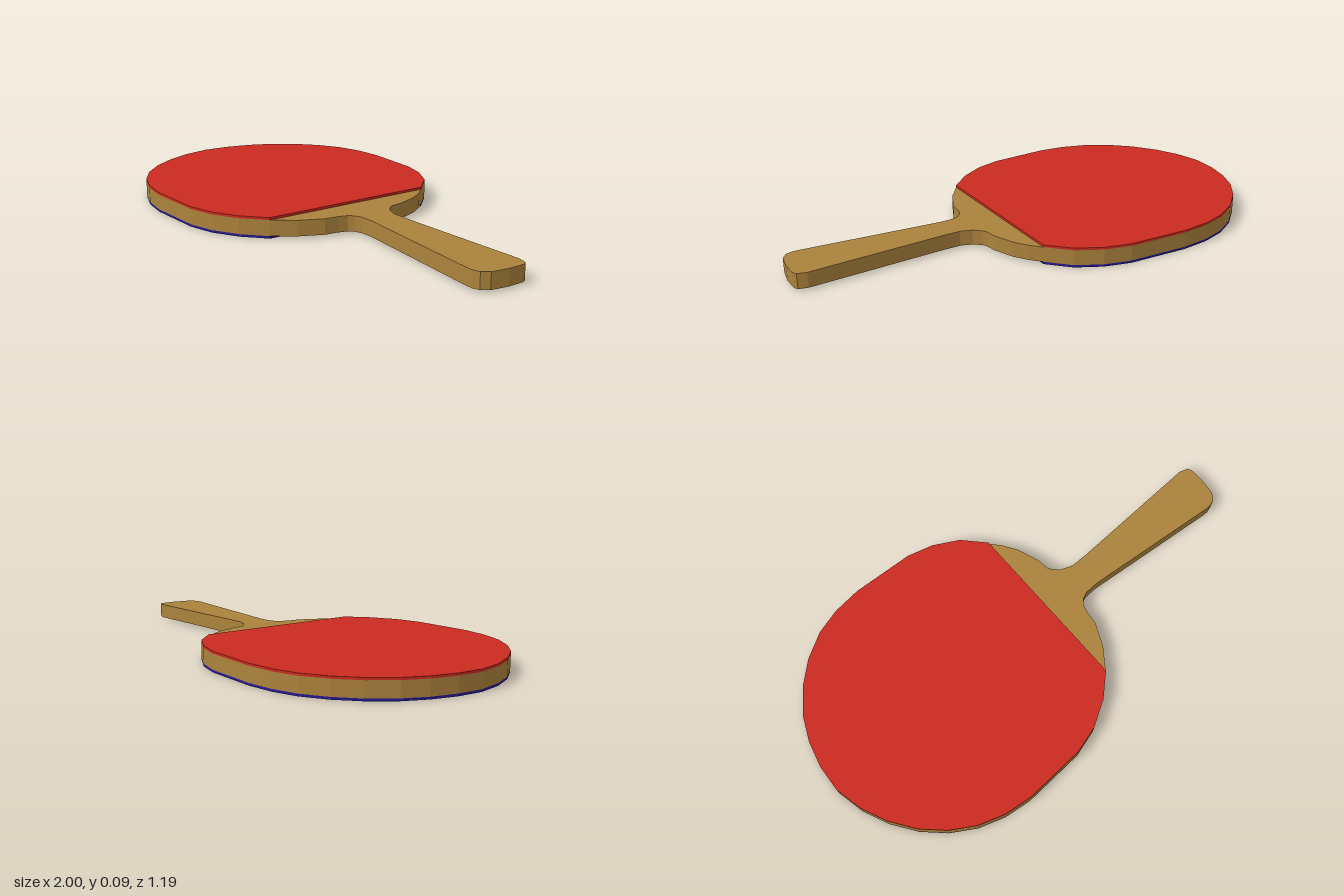
import * as THREE from 'three';

// Outline points are [x, z], seen from above.
const sheet = [
  [0.24, -0.185], [0.19, -0.3], [0.11, -0.39], [0.015, -0.457], [-0.23, -0.56], [-0.35, -0.59],
  [-0.465, -0.597], [-0.585, -0.575], [-0.695, -0.53], [-0.8, -0.46], [-0.877, -0.38], [-0.94, -0.285],
  [-0.985, -0.18], [-1, -0.06], [-0.99, 0.06], [-0.957, 0.18], [-0.904, 0.285], [-0.83, 0.377],
  [-0.738, 0.45], [-0.63, 0.505], [-0.375, 0.583], [-0.257, 0.592], [-0.134, 0.57], [-0.02, 0.522],
];

// The rest of the wood: blade shoulder, neck fillets and flared handle.
const neckAndHandle = [
  [0.07, 0.463], [0.145, 0.388], [0.172, 0.335], [0.195, 0.303], [0.22, 0.292], [0.25, 0.29], [0.305, 0.307],
  [0.855, 0.563], [0.88, 0.572], [0.91, 0.573], [0.94, 0.553], [0.975, 0.49], [0.998, 0.425],
  [0.995, 0.405], [0.963, 0.382], [0.405, 0.207], [0.33, 0.18], [0.29, 0.147], [0.27, 0.11],
  [0.267, 0.09], [0.278, 0.04], [0.278, -0.06], [0.262, -0.13],
];

// Flat slab with the given outline between two heights.
function slab(name, outline, bottom, top, color) {
  const shape = new THREE.Shape(outline.map(([x, z]) => new THREE.Vector2(x, -z)));
  const geometry = new THREE.ExtrudeGeometry(shape, { depth: top - bottom, bevelEnabled: false });
  geometry.rotateX(-Math.PI / 2).translate(0, bottom, 0);
  const mesh = new THREE.Mesh(geometry, new THREE.MeshStandardMaterial({ color, flatShading: true }));
  mesh.name = name;
  return mesh;
}

export function createModel() {
  const paddle = new THREE.Group();
  paddle.name = 'tableTennisPaddle';
  paddle.add(
    slab('woodenBladeAndHandle', [...sheet, ...neckAndHandle], 0.01, 0.075, 0xab823c),
    slab('redRubber', sheet, 0.075, 0.085, 0xcc2a20),
    slab('blueRubber', sheet, 0, 0.01, 0x24188f),
  );
  return paddle;
}
